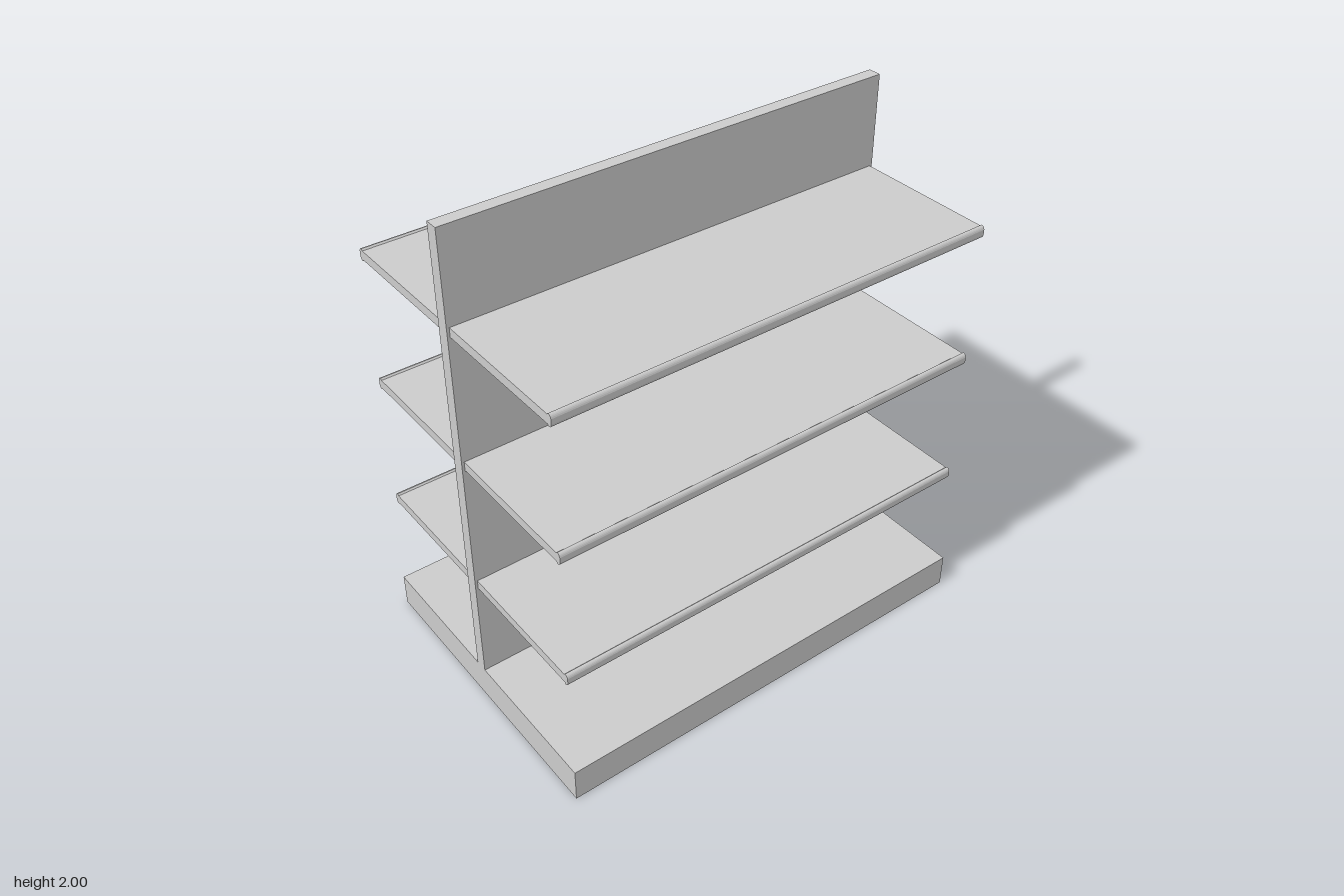
import * as THREE from 'three';

const material = new THREE.MeshStandardMaterial({ color: 0xcccccc, side: THREE.DoubleSide });

function addMesh(parent, name, geometry, x = 0, y = 0, z = 0) {
  const mesh = new THREE.Mesh(geometry, material);
  mesh.name = name;
  mesh.position.set(x, y, z);
  parent.add(mesh);
  return mesh;
}

// Box without its underside
function openBox(w, h, d) {
  const geometry = new THREE.BoxGeometry(w, h, d);
  const index = Array.from(geometry.index.array);
  index.splice(18, 6);
  geometry.setIndex(index);
  geometry.clearGroups();
  return geometry;
}

// Shelf cross-section: thin slab with a flared, rounded lip at the outer edge
function shelfGeometry(length, inner, outer) {
  const half = 0.018, lip = 0.024;
  const s = new THREE.Shape();
  s.moveTo(inner, -half);
  s.lineTo(outer - 0.02, -half);
  s.lineTo(outer - 0.014, -lip);
  s.quadraticCurveTo(outer - 0.003, -lip, outer, -0.01);
  s.lineTo(outer, 0.01);
  s.quadraticCurveTo(outer - 0.003, lip, outer - 0.014, lip);
  s.lineTo(outer - 0.02, half);
  s.lineTo(inner, half);
  const geometry = new THREE.ExtrudeGeometry(s, { depth: length, bevelEnabled: false, curveSegments: 5 });
  geometry.translate(0, 0, -length / 2);
  geometry.rotateY(-Math.PI / 2); // profile runs outward along +z
  return geometry;
}

export function createModel() {
  const group = new THREE.Group();
  group.name = 'doubleSidedShelfUnit';

  // Hollow plinth
  addMesh(group, 'base', openBox(1.78, 0.135, 1.21), 0, 0.0675, 0);

  // Upright centre panel
  const bottom = 0.13;
  addMesh(group, 'backPanel', new THREE.BoxGeometry(1.78, 2 - bottom, 0.05), 0, (2 + bottom) / 2, -0.012);

  // Three shelves on each side
  const shelf = shelfGeometry(1.76, 0.005, 0.58);
  for (const y of [0.562, 1.097, 1.627]) {
    addMesh(group, 'frontShelf', shelf, 0, y, 0);
    addMesh(group, 'rearShelf', shelf, 0, y, 0).rotation.y = Math.PI;
  }
  return group;
}
